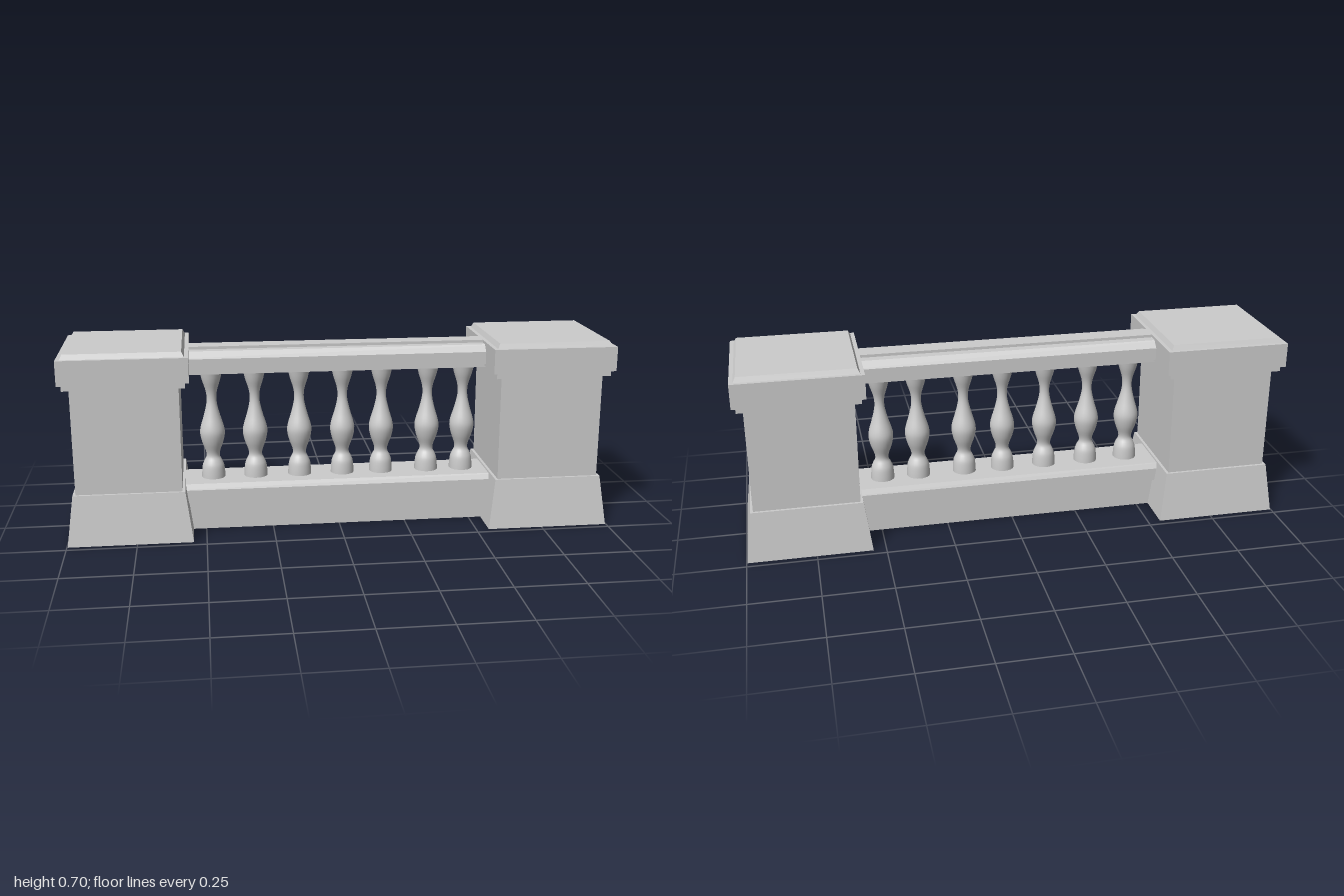
import * as THREE from 'three';

const stone = new THREE.MeshStandardMaterial({ color: 0xcccccc, side: THREE.DoubleSide });
const flatStone = new THREE.MeshStandardMaterial({ color: 0xcccccc, side: THREE.DoubleSide, flatShading: true });

const POST_X = 0.772;
const RAIL_Z = 0.008;

function addMesh(parent, name, geometry, material = flatStone) {
  const mesh = new THREE.Mesh(geometry, material);
  mesh.name = name;
  parent.add(mesh);
  return mesh;
}

// Square solid of revolution: points are [half width, y]
function squareProfile(points) {
  const profile = points.map(([half, y]) => new THREE.Vector2(half * Math.SQRT2, y));
  return new THREE.LatheGeometry(profile, 4, Math.PI / 4).toNonIndexed();
}

// Straight moulding along x from a half cross-section of [half depth, y]
function railGeometry(half, length) {
  const right = half.map(([z, y]) => new THREE.Vector2(z, y));
  const left = half.map(([z, y]) => new THREE.Vector2(-z, y)).reverse();
  const geometry = new THREE.ExtrudeGeometry(new THREE.Shape([...right, ...left]), {
    depth: length, bevelEnabled: false,
  });
  geometry.translate(0, 0, -length / 2);
  geometry.rotateY(Math.PI / 2);
  geometry.translate(0, 0, RAIL_Z);
  return geometry;
}

function createPost(name) {
  const post = new THREE.Group();
  post.name = name;
  // Tapered plinth, open underneath
  addMesh(post, 'plinth', squareProfile([[0.225, 0], [0.2, 0.185], [0.19, 0.185]]));
  addMesh(post, 'shaft', squareProfile([[0.19, 0.185], [0.19, 0.573]]));
  // Neck moulding, slab and bevelled top
  addMesh(post, 'cap', squareProfile([
    [0.19, 0.573], [0.213, 0.573], [0.213, 0.594], [0.2275, 0.594],
    [0.2275, 0.684], [0.213, 0.684], [0.204, 0.702], [0, 0.702],
  ]));
  return post;
}

// Turned baluster outline through smooth points of [radius, y]
function balusterGeometry() {
  const curve = new THREE.SplineCurve([
    [0.044, 0.178], [0.043, 0.2], [0.04, 0.225], [0.033, 0.243], [0.025, 0.26],
    [0.027, 0.28], [0.039, 0.313], [0.046, 0.347], [0.043, 0.375], [0.031, 0.415],
    [0.021, 0.455], [0.018, 0.485], [0.022, 0.515], [0.034, 0.553], [0.042, 0.59],
  ].map(([r, y]) => new THREE.Vector2(r, y)));
  return new THREE.LatheGeometry(curve.getPoints(42), 24);
}

export function createModel() {
  const model = new THREE.Group();
  model.name = 'balustrade';

  // End posts
  for (const side of [1, -1]) {
    const post = createPost(side > 0 ? 'leftPost' : 'rightPost');
    post.position.x = side * POST_X;
    model.add(post);
  }

  // Rails run into the posts
  addMesh(model, 'bottomRail', railGeometry([
    [0.082, 0], [0.082, 0.11], [0.102, 0.11], [0.102, 0.158], [0.09, 0.179],
  ], 1.68));
  addMesh(model, 'topRail', railGeometry([
    [0.07, 0.588], [0.07, 0.604], [0.092, 0.604], [0.092, 0.65],
    [0.068, 0.674], [0.035, 0.674], [0.035, 0.684],
  ], 1.6));

  // Unevenly spaced balusters
  const baluster = balusterGeometry();
  [-0.467, -0.308, -0.142, 0.021, 0.169, 0.345, 0.481].forEach((x, i) => {
    addMesh(model, `baluster${i + 1}`, baluster, stone).position.set(x, 0, RAIL_Z);
  });

  return model;
}
